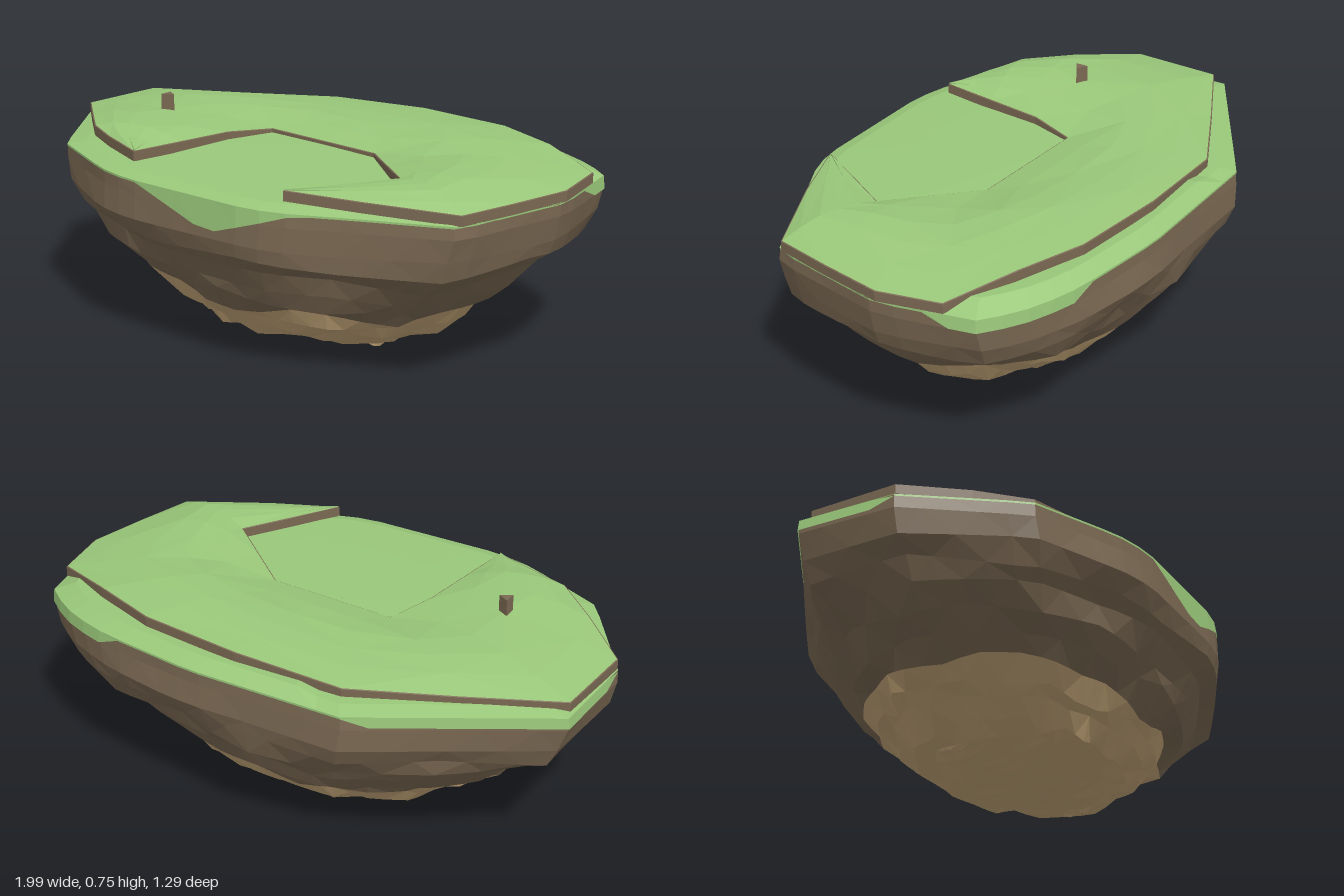
import * as THREE from 'three';

const GREEN = 0x9ac87a, BROWN = 0x7b6953, TAN = 0xc4a678;

// Small seeded noise in -1..1
let seed = 7;
const rnd = () => {
  seed = (seed * 16807) % 2147483647;
  return (seed / 2147483647) * 2 - 1;
};

// Closed row of n noise values, linear between knots that are `step` apart
function noiseRow(n, step) {
  const knots = Array.from({ length: n / step }, rnd);
  return Array.from({ length: n }, (_, j) => {
    const k = Math.floor(j / step);
    return THREE.MathUtils.lerp(knots[k], knots[(k + 1) % knots.length], (j % step) / step);
  });
}

// Faceted surface from equally long rows of points
function surface(name, rows, color, closed) {
  const n = rows[0].length, pos = rows.flat(2), idx = [];
  for (let i = 0; i < rows.length - 1; i++) {
    for (let j = 0; j < (closed ? n : n - 1); j++) {
      const k = (j + 1) % n;
      const a = i * n + j, b = i * n + k, c = a + n, d = b + n;
      if ((i + j) % 2) idx.push(a, b, c, b, d, c);
      else idx.push(a, b, d, a, d, c);
    }
  }
  const g = new THREE.BufferGeometry();
  g.setAttribute('position', new THREE.Float32BufferAttribute(pos, 3));
  g.setIndex(idx);
  g.computeVertexNormals();
  const m = new THREE.Mesh(g, new THREE.MeshStandardMaterial({
    color, flatShading: true, side: THREE.DoubleSide }));
  m.name = name;
  return m;
}

// Island outline seen from above (x, z)
const OUTLINE = [[-.995, -.26], [-.38, -.632], [.2, -.638], [.58, -.59], [.75, -.54], [.92, -.44],
  [.995, -.1], [.9, .35], [.6, .49], [.36, .61], [.25, .63], [-.27, .635], [-.42, .6], [-.74, .46], [-.995, .1]];

// Upper terrace: outer edge (x, z, y) from the front left round the back to the front right
const TERRACE = [[-.33, .53, .668], [-.52, .46, .672], [-.64, .41, .68], [-.8, .27, .672], [-.988, .1, .645],
  [-.978, -.22, .642], [-.66, -.38, .645], [-.33, -.54, .652], [.07, -.555, .672], [.45, -.52, .678],
  [.7, -.43, .675], [.945, -.32, .645], [.99, -.1, .642], [.945, .13, .642], [.898, .335, .642],
  [.6, .465, .658], [.36, .55, .668]];

// Edge of the front hollow, keyed by the matching index of the outer edge
const HOLLOW = [[0, -.33, .53, .668], [4, -.28, .12, .66], [6, -.22, -.05, .648],
  [10, .26, -.03, .648], [14, .56, .21, .67], [16, .36, .55, .668]];

function hollowPoint(i) {
  let k = 0;
  while (k < HOLLOW.length - 2 && i > HOLLOW[k + 1][0]) k++;
  const a = HOLLOW[k], b = HOLLOW[k + 1], t = (i - a[0]) / (b[0] - a[0]);
  return [1, 2, 3].map(c => a[c] + (b[c] - a[c]) * t);
}

// How far the turf hangs down over the rock
function turfDrop(x, z) {
  if (z > .5) return .105 * Math.max(0, 1 - Math.abs(x - .1) / .32);
  if (x > .6 && z < -.28) return .038;
  if (x < -.38 && z < .1) return .03;
  return 0;
}

export function createModel() {
  const island = new THREE.Group();
  island.name = 'floatingIsland';

  const pts = OUTLINE.map(p => new THREE.Vector2(...p));
  const path = new THREE.CurvePath();
  pts.forEach((p, i) => path.add(new THREE.LineCurve(p, pts[(i + 1) % pts.length])));
  const rim = path.getSpacedPoints(60).slice(0, 60);

  // Rocky underside: height, x scale, z scale, roughness, facet width in columns
  const levels = [[.605, 1, .995, 0, 4], [.56, 1, 1, .12, 4], [.48, .975, 1.01, .35, 4],
    [.42, .94, .985, .7, 4], [.36, .87, .935, 1, 4], [.3, .795, .87, 1.1, 3], [.245, .715, .81, 1.1, 3],
    [.185, .66, .73, 1.2, 2], [.14, .61, .655, 1, 2], [.1, .545, .59, 1, 2], [.05, .46, .51, 1, 2],
    [.02, .38, .41, .6, 2]];
  const rock = levels.map(([y, sx, sz, r, step]) => {
    const push = noiseRow(60, step), lift = noiseRow(60, step);
    // The outline gets rounder and drifts slightly sideways further down
    const low = THREE.MathUtils.clamp((.5 - y) / .4, 0, 1);
    return rim.map((p, j) => {
      const round = Math.hypot(p.x / .995, p.y / .636) ** -low;
      const s = round * (1 + push[j] * .035 * r);
      const rise = y < .04 ? Math.abs(p.y) * .04 : 0;
      return [p.x * sx * s + .015 * low, Math.max(.004, y + rise + lift[j] * .022 * r), p.y * sz * s];
    });
  });
  island.add(surface('rockSide', rock.slice(0, 8), BROWN, true));
  island.add(surface('rockBottom', rock.slice(7), TAN, true));

  // Bumpy base: strips between opposite points of the lowest ring
  const last = rock.at(-1);
  const base = last.slice(0, 30).map((back, j) => {
    const front = last[59 - j];
    return [0, .2, .4, .6, .8, 1].map(t => {
      const [x, y, z] = front.map((v, c) => v + (back[c] - v) * t);
      const inside = t > 0 && t < 1 && j > 0 && j < 29;
      return [x, inside ? Math.max(0, .012 + z * z * .25 + rnd() * .009) : y, z];
    });
  });
  island.add(surface('rockBase', base, TAN, false));

  // Lower turf with an overhanging edge, rising gently to the floor of the hollow
  const ring = (s, y) => rim.map(p => [p.x * s, y(p.x, p.y), p.y * s]);
  const shoulder = (x, z) => .622 + (z < -.3 && x > -.2 ? .018 : 0);
  const hang = rim.map(p => {
    const drop = turfDrop(p.x, p.y), s = 1 + Math.min(.005, drop * .2);
    return [p.x * s, .6 - drop, p.y * Math.max(s, 1 + drop * .14)];
  });
  island.add(surface('lowerTurf', [
    ring(.001, () => .636), ring(.6, () => .63), ring(.92, shoulder),
    ring(1, () => .607), hang], GREEN, true));

  // Raised turf: a horseshoe between the hollow and the outer edge, with gentle hills either side
  const inner = TERRACE.map((_, i) => hollowPoint(i));
  const rows = [0, .2, .4, .6, .8, 1].map(t => TERRACE.map((o, i) => {
    const p = inner[i], edge = t === 0 || t === 1;
    const width = Math.hypot(o[0] - p[0], o[1] - p[1]);
    const [x, z, y] = p.map((v, c) => v + (o[c] - v) * t);
    const hill = Math.min(1, width / .4) * Math.min(1, .6 + .6 * Math.abs(x)) * .04 * Math.sin(Math.PI * t);
    return [x, edge ? y : Math.min(.703, y + hill + rnd() * .004), z];
  }));
  island.add(surface('upperTurf', rows, GREEN, false));

  // Earth band under the edge of the raised turf
  const loop = [...TERRACE, ...inner.slice(1, -1).reverse()];
  const band = [[0, 0], [.004, -.002], [.004, -.036], [-.006, -.038]].map(([out, up]) =>
    loop.map(([x, z, y], i) => {
      const a = loop[(i + loop.length - 1) % loop.length], b = loop[(i + 1) % loop.length];
      const dx = b[0] - a[0], dz = b[1] - a[1], l = Math.hypot(dx, dz);
      return [x + dz / l * out, y + up, z - dx / l * out];
    }));
  island.add(surface('earthBand', band, BROWN, true));

  // Small three-sided stump
  const stump = new THREE.Mesh(new THREE.CylinderGeometry(.027, .027, .07, 3),
    new THREE.MeshStandardMaterial({ color: BROWN, flatShading: true }));
  stump.name = 'stump';
  stump.position.set(-.57, .715, .115);
  stump.rotation.y = Math.PI / 2;
  island.add(stump);

  return island;
}
